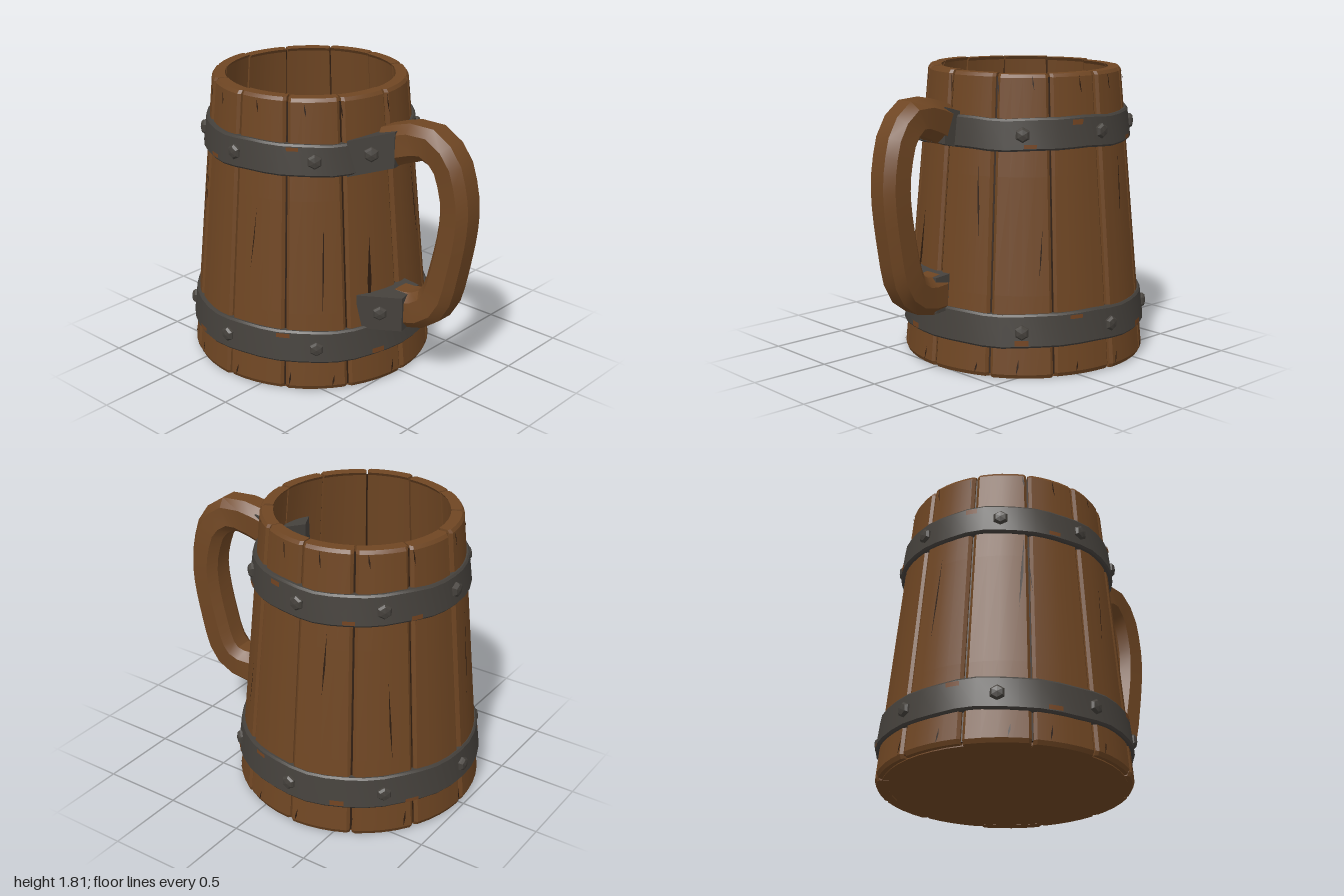
import * as THREE from 'three';
import { mergeGeometries, toCreasedNormals } from 'three/addons/utils/BufferGeometryUtils.js';

const H = 1.81, STAVES = 12, WALL = 0.066;
const outerR = (y) => 0.76 - (0.165 * y) / H;
const polar = (phi, r, y) => new THREE.Vector3(Math.sin(phi) * r, y, Math.cos(phi) * r);

let seed = 7;
const rand = () => (seed = (seed * 16807) % 2147483647) / 2147483647;

// Skin closed cross-sections (counter-clockwise about the travel direction) and cap both ends
function loft(rings, crease) {
  const n = rings[0].length, index = [];
  const last = (rings.length - 1) * n;
  for (let i = 0; i < rings.length - 1; i++) {
    for (let j = 0; j < n; j++) {
      const k = (j + 1) % n, a = i * n + j, b = i * n + k;
      index.push(a, b, b + n, a, b + n, a + n);
    }
  }
  for (let j = 1; j < n - 1; j++) index.push(0, j + 1, j, last, last + j, last + j + 1);
  const g = new THREE.BufferGeometry().setFromPoints(rings.flat());
  g.setIndex(index);
  return toCreasedNormals(g, crease);
}

// One tapered plank of the barrel, with chamfered long edges and ends
function staveGeometry(index) {
  const mid = ((index + 0.5) / STAVES) * Math.PI * 2;
  const half = Math.PI / STAVES;
  const top = H - rand() * 0.02, bottom = rand() * 0.012, bulge = (rand() - 0.5) * 0.008;
  const rows = [[bottom, 0.014], [bottom + 0.025, 0], [0.5, 0], [1.2, 0], [top - 0.02, 0], [top, 0.012]];
  const rings = rows.map(([y, inset]) => {
    const r = outerR(y) + bulge - inset;
    const edge = half - 0.006 / r, flat = half - 0.024 / r;
    const right = [[flat / 2, 0], [flat, 0], [edge, 0.014], [edge, WALL], [half / 2, WALL]];
    const left = right.map(([a, d]) => [-a, d]).reverse();
    return [[0, 0], ...right, [0, WALL], ...left].map(([a, d]) => polar(mid + a, r - d, y));
  });
  return loft(rings, 0.35);
}

// Thin dark split lying on the plank surface
function crackGeometry([phi, y0, y1, width, lean = 0]) {
  const ym = y0 + (y1 - y0) * 0.45;
  const at = (a, y) => polar(a, outerR(y) + 0.006, y);
  const g = new THREE.BufferGeometry().setFromPoints([
    at(phi, y0), at(phi + width + lean / 2, ym), at(phi + lean, y1), at(phi - width + lean / 2, ym)]);
  g.setIndex([0, 1, 2, 0, 2, 3]);
  g.computeVertexNormals();
  return g;
}

// Iron hoop with bevelled rims and a slightly hammered outline
function bandGeometry(y0, y1, r0, r1) {
  const profile = [[r0 - 0.05, y0], [r0 - 0.01, y0], [r0, y0 + 0.012], [r1, y1 - 0.012], [r1 - 0.01, y1], [r1 - 0.05, y1]];
  const g = new THREE.LatheGeometry(profile.map(([x, y]) => new THREE.Vector2(x, y)), 40);
  const p = g.attributes.position;
  for (let i = 0; i < p.count; i++) {
    const phi = Math.atan2(p.getX(i), p.getZ(i));
    p.setY(i, p.getY(i) + 0.005 * Math.sin(phi * 5) + 0.003 * Math.sin(phi * 11));
  }
  return toCreasedNormals(g, 0.4);
}

export function createModel() {
  const wood = new THREE.MeshStandardMaterial({ color: 0x6f4623 });
  const iron = new THREE.MeshStandardMaterial({ color: 0x45413c });
  const darkWood = new THREE.MeshStandardMaterial({ color: 0x2e1c0f });
  const rust = new THREE.MeshStandardMaterial({ color: 0x744522 });
  Object.entries({ wood, iron, darkWood, rust }).forEach(([name, m]) => { m.name = name; });

  const model = new THREE.Group();
  model.name = 'tankard';
  const barrel = new THREE.Group();
  barrel.name = 'barrel';
  barrel.position.x = -0.22;
  model.add(barrel);

  const add = (parent, name, geometry, material) => {
    const mesh = new THREE.Mesh(geometry, material);
    mesh.name = name;
    parent.add(mesh);
    return mesh;
  };

  // Planks; the front and back joints stay open, the others have dark caulking
  for (let i = 0; i < STAVES; i++) {
    add(barrel, 'stave', staveGeometry(i), wood);
    if (i % 6 === 0) continue;
    const g = new THREE.BoxGeometry(0.024, 1.76, 0.02);
    g.rotateX(-Math.atan(0.165 / H));
    g.translate(0, 0.9, outerR(0.9) - 0.032);
    g.rotateY((i / STAVES) * Math.PI * 2);
    add(barrel, 'seam', g, darkWood);
  }

  // Base disc closing the barrel
  const base = add(barrel, 'base', new THREE.CylinderGeometry(0.7, 0.72, 0.12, 48), wood);
  base.position.y = 0.064;

  // Splits in the planks: angle, bottom, top, half width, lean
  const cracks = [
    [-0.62, 0.85, 1.34, 0.012, 0.05], [-0.5, 0.95, 1.3, 0.006, -0.05], [0.2, 0.75, 1.15, 0.005, 0.05],
    [0.84, 0.5, 1.1, 0.008, 0.02], [1.25, 0.45, 0.95, 0.02, 0.03], [1.98, 0.8, 1.3, 0.009, -0.04],
    [2.5, 0.6, 0.9, 0.006, 0.03], [3.4, 0.9, 1.3, 0.009, 0.03], [4.0, 0.5, 1.0, 0.008, -0.03],
    [4.9, 0.7, 1.25, 0.008, 0.04],
  ];
  for (let i = 0; i < 14; i++) {
    const phi = i * 0.449 + rand() * 0.2;
    cracks.push([phi, 0.03, 0.09 + rand() * 0.06, 0.008, 0.02]);
    cracks.push([phi + 0.15, 1.65 + rand() * 0.06, 1.785, 0.008, -0.02]);
  }
  add(barrel, 'cracks', mergeGeometries(cracks.map(crackGeometry)), darkWood);

  // Domed six-sided bolt pointing outward at angle phi
  const boltGeometry = toCreasedNormals(new THREE.LatheGeometry(
    [[0.046, -0.03], [0.046, 0.008], [0.034, 0.022], [0, 0.028]].map(([x, y]) => new THREE.Vector2(x, y)), 6), 0.1);
  boltGeometry.rotateX(Math.PI / 2);
  const addBolt = (parent, position, phi) => {
    const bolt = add(parent, 'bolt', boltGeometry, iron);
    bolt.position.copy(position);
    bolt.rotation.y = phi;
  };

  // Hoops, their bolts and rust patches
  const hoops = [
    { name: 'lowerBand', y0: 0.195, y1: 0.395, r0: 0.765, r1: 0.744, boltY: 0.29 },
    { name: 'upperBand', y0: 1.355, y1: 1.545, r0: 0.663, r1: 0.643, boltY: 1.45 },
  ];
  hoops.forEach(({ name, y0, y1, r0, r1, boltY }, h) => {
    add(barrel, name, bandGeometry(y0, y1, r0, r1), iron);
    for (let i = 0; i < 8; i++) {
      if (i === 2) continue; // the handle sits here
      const phi = (i * Math.PI) / 4;
      addBolt(barrel, polar(phi, (r0 + r1) / 2, boltY), phi);
    }
    [-0.41, 0.46, 1.25, 2.3, 2.75, 3.5, 4.1, 5.1].forEach((phi, i) => {
      const onTop = i % 3 === 1;
      const size = 0.022 + rand() * 0.014;
      const y = onTop ? y1 - 0.014 - size / 2 : y0 + 0.014 + size / 2;
      const r = r0 + ((r1 - r0) * (y - y0)) / (y1 - y0) + 0.003;
      const g = new THREE.CylinderGeometry(r, r, size, 3, 1, true, phi + h * 0.07, 0.11);
      add(barrel, 'rustPatch', g, rust).position.y = y;
    });
  });

  // Curved handle, swept with a chamfered section and leaning a little to the back
  const path = new THREE.CatmullRomCurve3([
    [0.46, 1.49], [0.58, 1.535], [0.71, 1.555], [0.825, 1.47], [0.88, 1.32], [0.9, 1.15],
    [0.86, 0.85], [0.775, 0.56], [0.66, 0.48], [0.5, 0.47],
  ].map(([x, y]) => new THREE.Vector3(x, y, 0)));
  const section = [[1, -0.5], [1, 0.5], [0.55, 1], [-0.55, 1], [-1, 0.5], [-1, -0.5], [-0.55, -1], [0.55, -1]];
  const zAxis = new THREE.Vector3(0, 0, 1);
  const rings = [];
  for (let i = 0; i <= 18; i++) {
    const t = i / 18, p = path.getPointAt(t);
    const side = zAxis.clone().cross(path.getTangentAt(t));
    const thick = 0.1 + 0.022 * Math.pow(2 * t - 1, 2);
    rings.push(section.map(([a, b]) => {
      const v = p.clone().addScaledVector(side, a * thick);
      v.z = 0.02 - 0.2 * (p.x - 0.5) + b * 0.112;
      return v;
    }));
  }
  add(model, 'handle', loft(rings, 0.45), wood);

  // Iron brackets holding the handle ends
  const outline = [[0.345, 0.3], [0.555, 0.125], [0.51, -0.085], [0.34, -0.085], [0.26, 0.1]];
  [[0, 1.365, 1.585, 0.28], [0.08, 0.37, 0.59, -0.08]].forEach(([dx, y0, y1, tilt]) => {
    const bracket = new THREE.Group();
    bracket.name = dx ? 'lowerBracket' : 'upperBracket';
    model.add(bracket);
    const body = [y0, y1].map((y) => outline.map(([x, z]) =>
      new THREE.Vector3(x + dx, y + (x - 0.45) * tilt, z)));
    add(bracket, 'bracketBody', loft(body, 0.2), iron);
    addBolt(bracket, new THREE.Vector3(0.455 + dx, (y0 + y1) / 2 + 0.005, 0.212), 0.69);
  });

  return model;
}
